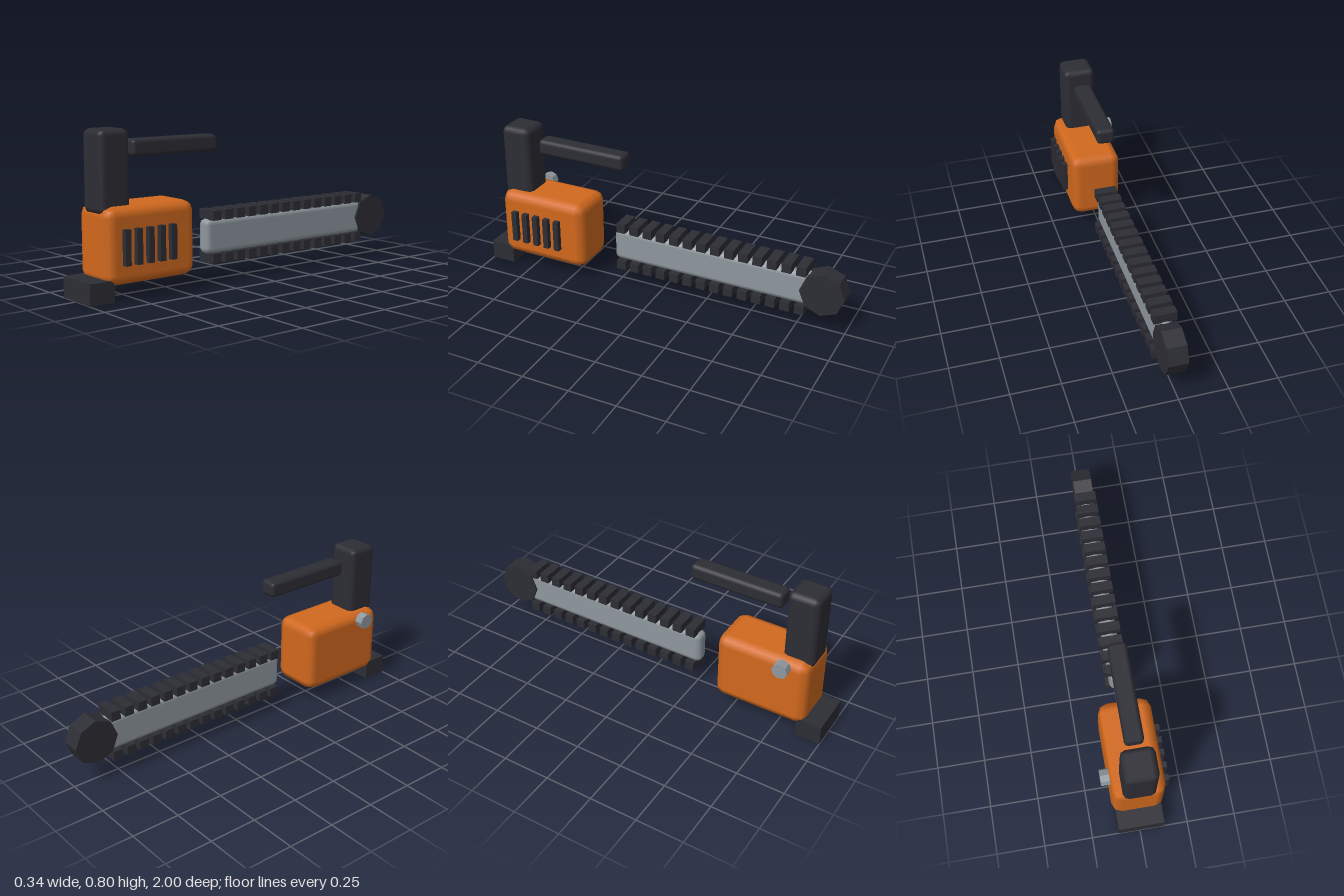
import * as THREE from 'three';
import { RoundedBoxGeometry } from 'three/addons/geometries/RoundedBoxGeometry.js';

const CX = 0.007; // centre plane of the saw

function material(name, color) {
  const m = new THREE.MeshStandardMaterial({ color });
  m.name = name;
  return m;
}

export function createModel() {
  const saw = new THREE.Group();
  saw.name = 'chainsaw';
  const orange = material('orange casing', 0xd2691e);
  const dark = material('dark rubber', 0x2d2d35);
  const steel = material('grey steel', 0x8f989f);

  function add(name, geometry, mat, x, y, z, parent = saw) {
    const mesh = new THREE.Mesh(geometry, mat);
    mesh.name = name;
    mesh.position.set(x, y, z);
    parent.add(mesh);
    return mesh;
  }
  const rounded = (w, h, d, r) => new RoundedBoxGeometry(w, h, d, 1, r);
  // Eight-sided disc with its axis along x
  const disc = (r, w) => new THREE.CylinderGeometry(r, r, w, 8).rotateZ(Math.PI / 2).toNonIndexed();

  // Engine housing and handles
  add('engineHousing', rounded(0.27, 0.37, 0.5, 0.05), orange, CX, 0.257, 0.66);
  add('rearHandle', rounded(0.168, 0.397, 0.165, 0.03), dark, CX, 0.599, 0.829);
  add('topHandle', rounded(0.095, 0.083, 0.5, 0.02), dark, CX, 0.7, 0.46);
  add('rearFoot', new THREE.BoxGeometry(0.237, 0.104, 0.132), dark, CX, 0.052, 0.934);

  // Starter knob on the right flank
  const knob = disc(0.042, 0.046);
  knob.computeVertexNormals();
  add('starterKnob', knob, steel, -0.149, 0.408, 0.78);

  // Cooling vents on the left flank
  const vents = new THREE.Group();
  vents.name = 'coolingVents';
  saw.add(vents);
  const ventGeometry = new THREE.BoxGeometry(0.03, 0.17, 0.03);
  for (let i = 0; i < 5; i++) {
    add('vent', ventGeometry, dark, 0.155, 0.256, 0.817 - i * 0.0645, vents);
  }

  // Guide bar with its nose
  add('guideBar', rounded(0.08, 0.18, 1.1, 0.03), steel, CX, 0.225, -0.277);
  const nose = disc(0.117, 0.1);
  nose.computeVertexNormals();
  add('barNose', nose, dark, CX, 0.225, -0.883);

  // Chain links above and below the bar
  const chain = new THREE.Group();
  chain.name = 'chain';
  saw.add(chain);
  const linkGeometry = new THREE.BoxGeometry(0.116, 0.05, 0.05);
  for (let i = 0; i < 14; i++) {
    for (const side of [1, -1]) {
      add('chainLink', linkGeometry, dark, CX, 0.225 + side * 0.11, 0.222 - i * 0.0766, chain);
    }
  }
  return saw;
}
